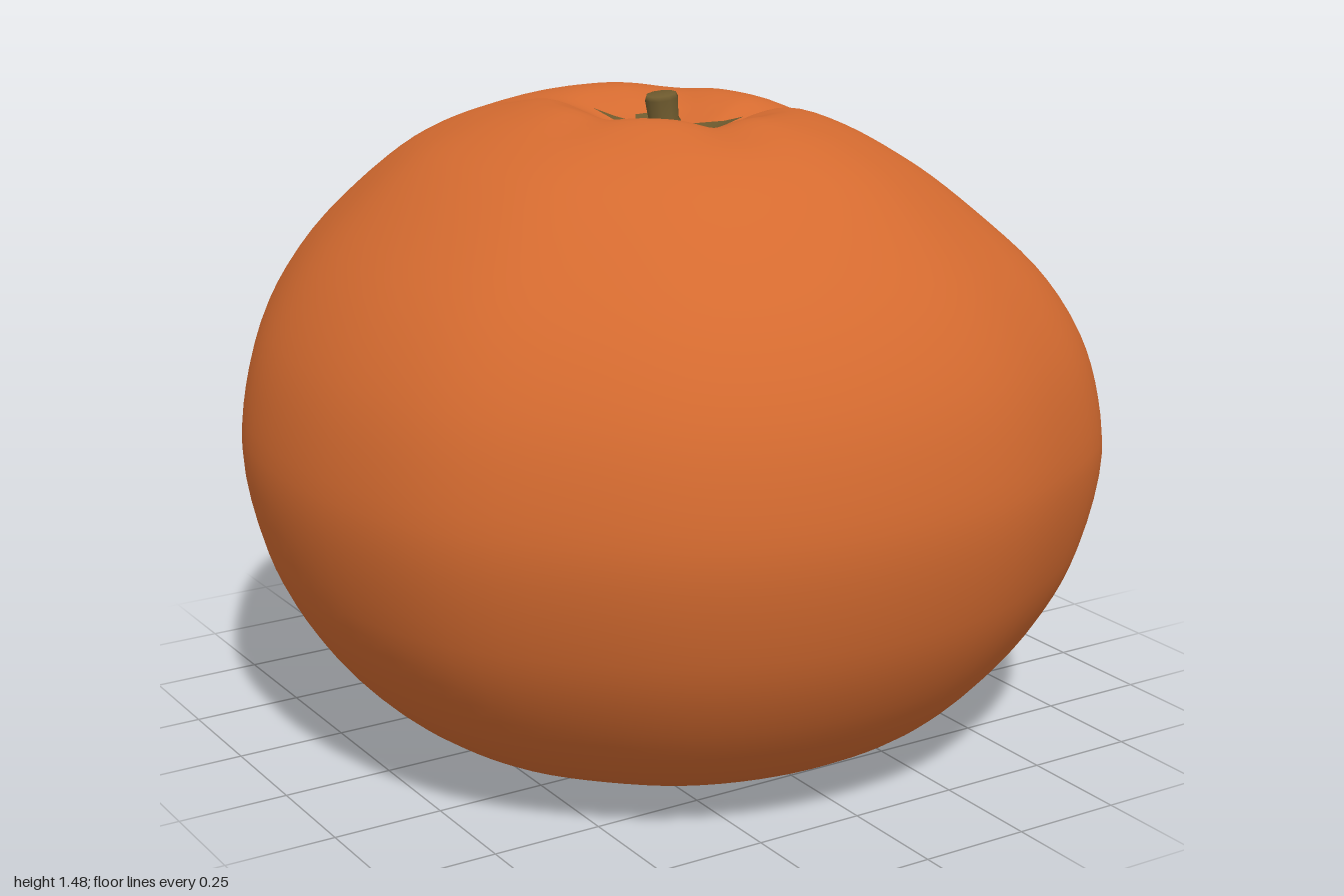
import * as THREE from 'three';

// Outline radius every 15 degrees, starting at +x and turning towards +z
const OUTLINE = [.98, .965, .965, .985, .975, .985, .99, 1, 1.01, 1.005, 1.01, .995,
  .985, .985, .985, 1.01, 1.005, 1.01, 1, .995, 1.04, 1.05, 1, .98];

// Half profile (radius, height) from the bottom dimple to the stem hollow
const PROFILE = [[0, .045], [.12, .025], [.25, .006], [.4, .005], [.55, .04], [.68, .1],
  [.8, .205], [.9, .345], [.96, .48], [1, .68], [.985, .83], [.94, .97], [.85, 1.115],
  [.72, 1.25], [.6, 1.345], [.5, 1.397], [.4, 1.432], [.28, 1.449], [.2, 1.427],
  [.15, 1.402], [.1, 1.384], [.05, 1.374], [0, 1.37]];

// Grooves running out of the hollow: angle, depth, angular width
const GROOVES = [[.08, .035, .2], [1.75, .02, .22], [2.7, .012, .25], [4.1, .02, .25], [5.3, .015, .25]];

const bump = (x, centre, width) => Math.exp(-(((x - centre) / width) ** 2));

function outlineRadius(phi) {
  const n = OUTLINE.length;
  const t = phi / (2 * Math.PI) * n;
  const i = Math.floor(t), f = t - i;
  const [a, b, c, d] = [-1, 0, 1, 2].map(k => OUTLINE[(i + k + n) % n]);
  return b + .5 * f * (c - a + f * (2 * a - 5 * b + 4 * c - d + f * (3 * (b - c) + d - a)));
}

function fruitGeometry(rings = 80, segments = 96) {
  const curve = new THREE.CatmullRomCurve3(PROFILE.map(([r, y]) => new THREE.Vector3(r, y, 0)));
  const positions = [], indices = [];
  for (let i = 0; i <= rings; i++) {
    const p = curve.getPoint(i / rings);
    const r = Math.max(0, p.x);
    const top = p.y > .7;
    for (let j = 0; j < segments; j++) {
      const phi = j / segments * Math.PI * 2;
      const R = r * outlineRadius(phi);
      let y = p.y;
      if (top) {
        // Lower shoulder on the left, then the creases round the stem
        y -= .09 * bump(r, .65, .3) * Math.max(0, Math.cos(phi)) ** 2;
        y += .015 * bump(r, .27, .1) * Math.max(0, Math.cos(phi - 2.8));
        for (const [angle, depth, width] of GROOVES) {
          const d = Math.atan2(Math.sin(phi - angle), Math.cos(phi - angle));
          y -= depth * bump(r, .28, .13) * bump(d, 0, width);
        }
      } else {
        y += .012 * bump(r, .2, .15) * (1 + Math.cos(phi + .3)) / 2;
      }
      const shift = top ? -.02 * (1 - Math.min(1, r)) : 0;
      positions.push(R * Math.cos(phi) + shift, y, R * Math.sin(phi) - shift);
      if (i < rings) {
        const a = i * segments + j, b = i * segments + (j + 1) % segments;
        indices.push(a, a + segments, b, b, a + segments, b + segments);
      }
    }
  }
  const g = new THREE.BufferGeometry();
  g.setAttribute('position', new THREE.Float32BufferAttribute(positions, 3));
  g.setIndex(indices);
  g.computeVertexNormals();
  return g;
}

// Ragged star laid into the hollow, cupped to follow the skin
function calyxGeometry(steps = 5) {
  const star = [[.115, .115], [.06, .105], [-.02, .13], [-.07, .1], [-.145, .11], [-.11, .06],
    [-.085, 0], [-.1, -.06], [-.135, -.12], [-.09, -.1], [-.05, -.075], [-.03, -.11],
    [.005, -.11], [.04, -.06], [.06, -.01], [.1, .06]];
  const cx = -.02, cz = .02, n = star.length;
  const positions = [], indices = [];
  for (let i = 0; i <= steps; i++) {
    for (let j = 0; j < n; j++) {
      const x = (star[j][0] - cx) * i / steps, z = (star[j][1] - cz) * i / steps;
      positions.push(cx + x, 1.38 + 1.45 * (x * x + z * z), cz + z);
      if (i < steps) {
        const a = i * n + j, b = i * n + (j + 1) % n;
        indices.push(a, a + n, b, b, a + n, b + n);
      }
    }
  }
  const g = new THREE.BufferGeometry();
  g.setAttribute('position', new THREE.Float32BufferAttribute(positions, 3));
  g.setIndex(indices);
  g.computeVertexNormals();
  // The star is listed clockwise, so its faces are made to look up
  if (g.attributes.normal.getY(n * 2) < 0) {
    g.setIndex(indices.reverse());
    g.computeVertexNormals();
  }
  return g;
}

export function createModel() {
  const group = new THREE.Group();
  group.name = 'citrusFruit';
  const peel = new THREE.MeshStandardMaterial({ color: 0xd56b30 });
  peel.name = 'orangePeel';
  const green = new THREE.MeshStandardMaterial({ color: 0x6e5a2e, side: THREE.DoubleSide });
  green.name = 'oliveStem';

  const add = (name, geometry, material) => {
    const mesh = new THREE.Mesh(geometry, material);
    mesh.name = name;
    group.add(mesh);
    return mesh;
  };

  add('fruit', fruitGeometry(), peel);
  add('calyx', calyxGeometry(), green);

  // Short cut stem with a flared foot, leaning slightly
  const stemProfile = [[.07, 0], [.045, .015], [.034, .04], [.038, .085], [.034, .095], [0, .095]];
  const stem = add('stem', new THREE.LatheGeometry(stemProfile.map(p => new THREE.Vector2(...p)), 10), green);
  stem.position.set(-.04, 1.38, .035);
  stem.rotation.z = .12;

  // Blossom scar in the bottom dimple
  const scar = add('blossomScar', new THREE.CylinderGeometry(.012, .012, .008, 8), green);
  scar.position.set(0, .045, 0);
  return group;
}
